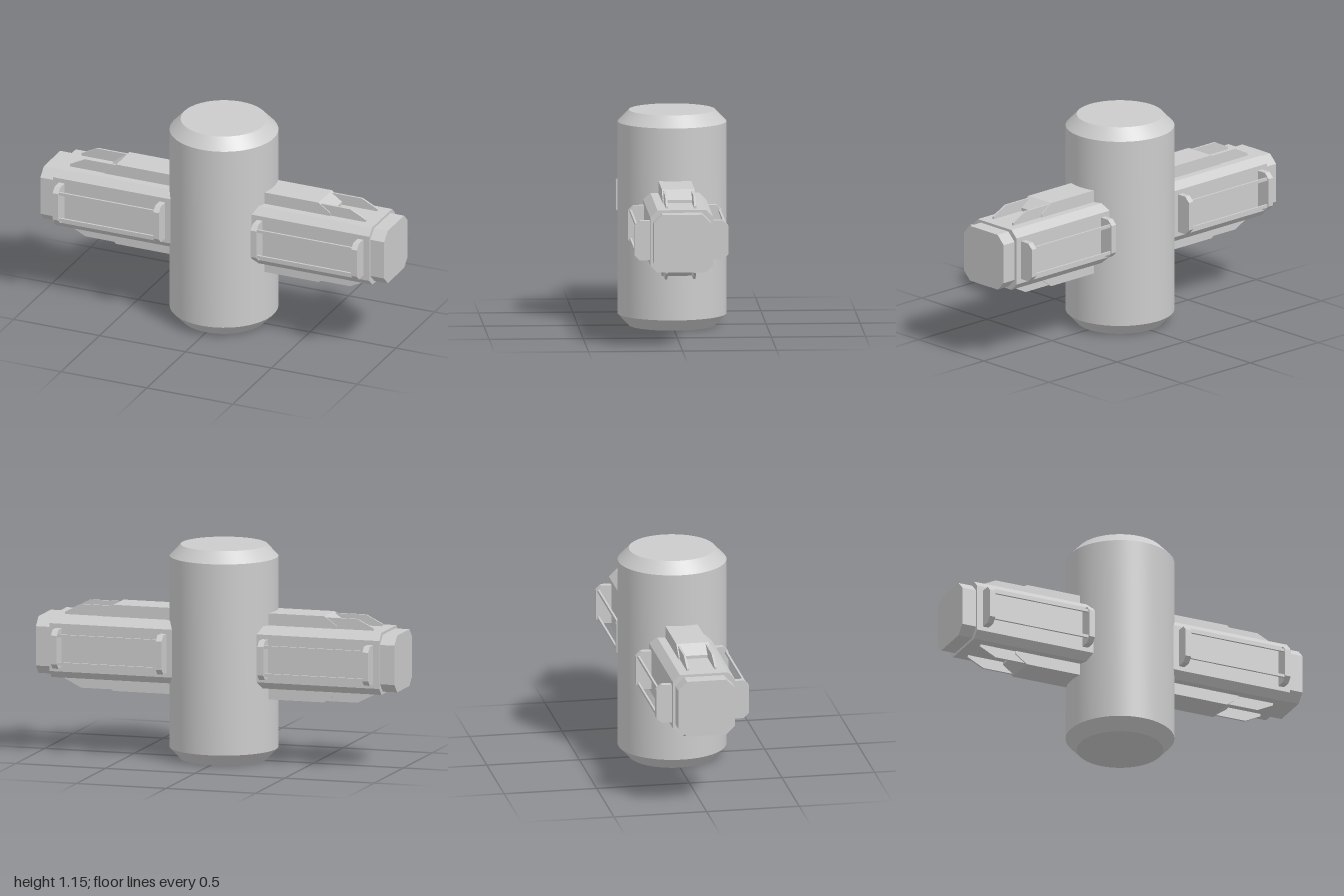
import * as THREE from 'three';
import { toCreasedNormals } from 'three/addons/utils/BufferGeometryUtils.js';

const material = new THREE.MeshStandardMaterial({ color: 0xcccccc });
const MID = 0.577; // height of the arm axis

function part(name, geometry, x = 0, y = 0, z = 0) {
  const mesh = new THREE.Mesh(geometry, material);
  mesh.name = name;
  mesh.position.set(x, y, z);
  return mesh;
}

const extrude = (points, depth) => new THREE.ExtrudeGeometry(
  new THREE.Shape(points.map(([x, y]) => new THREE.Vector2(x, y))),
  { depth, bevelEnabled: false });

// Profile in the z-y plane, extruded along x from x0 to x1
const alongX = (points, x0, x1) =>
  extrude(points, x1 - x0).rotateY(Math.PI / 2).translate(x0, 0, 0);

// Square section with cut corners
function octagon(h, c) {
  const k = h - c;
  return [[-k, -h], [k, -h], [h, -k], [h, k], [k, h], [-k, h], [-h, k], [-h, -k]];
}

// Side bracket: two chamfered posts joined by two slim rails
function createBracket() {
  const bracket = new THREE.Group();
  bracket.name = 'sideBracket';
  const post = [[0.16, -0.105], [0.222, -0.105], [0.25, -0.077],
    [0.25, 0.077], [0.222, 0.105], [0.16, 0.105]]
    .map(([z, y]) => [-z, y]).reverse();
  for (const x of [0.267, 0.852]) {
    bracket.add(part('bracketPost', alongX(post, x, x + 0.033)));
  }
  for (const y of [-0.075, 0.075]) {
    bracket.add(part('bracketRail', new THREE.BoxGeometry(0.57, 0.016, 0.011), 0.575, y, 0.236));
  }
  return bracket;
}

// Sloped block with a pair of thin fins running outwards from it
function createRidge() {
  const ridge = new THREE.Group();
  ridge.name = 'ridge';
  const block = [[0.15, 0.15], [0.655, 0.15], [0.655, 0.184], [0.588, 0.232], [0.15, 0.232]];
  ridge.add(part('ridgeBlock', extrude(block, 0.174), 0, 0, -0.087));
  const fin = [[0.55, 0.15], [0.86, 0.15], [0.86, 0.18], [0.77, 0.225], [0.55, 0.225]];
  for (const z of [-0.075, 0.075]) {
    ridge.add(part('ridgeFin', extrude(fin, 0.011), 0, 0, z - 0.0055));
  }
  return ridge;
}

function createArm(name) {
  const arm = new THREE.Group();
  arm.name = name;
  arm.position.y = MID;
  arm.add(part('armBody', alongX(octagon(0.167, 0.038), 0.15, 0.92)));
  arm.add(part('armEndCap', alongX(octagon(0.153, 0.047), 0.9, 1)));
  // Brackets front and back, ridges above and below
  const front = createBracket();
  const back = createBracket();
  back.rotation.x = Math.PI;
  const top = createRidge();
  const bottom = createRidge();
  bottom.rotation.x = Math.PI;
  arm.add(front, back, top, bottom);
  return arm;
}

export function createModel() {
  const model = new THREE.Group();
  model.name = 'crossConnector';

  // Upright drum with chamfered rims
  const profile = [[0, 0], [0.23, 0], [0.289, 0.063], [0.289, 1.092], [0.23, 1.154], [0, 1.154]]
    .map(([r, y]) => new THREE.Vector2(r, y));
  model.add(part('drum', toCreasedNormals(new THREE.LatheGeometry(profile, 64), 0.5)));

  // Two matching arms
  const left = createArm('leftArm');
  const right = createArm('rightArm');
  right.rotation.y = Math.PI;
  model.add(left, right);
  return model;
}
